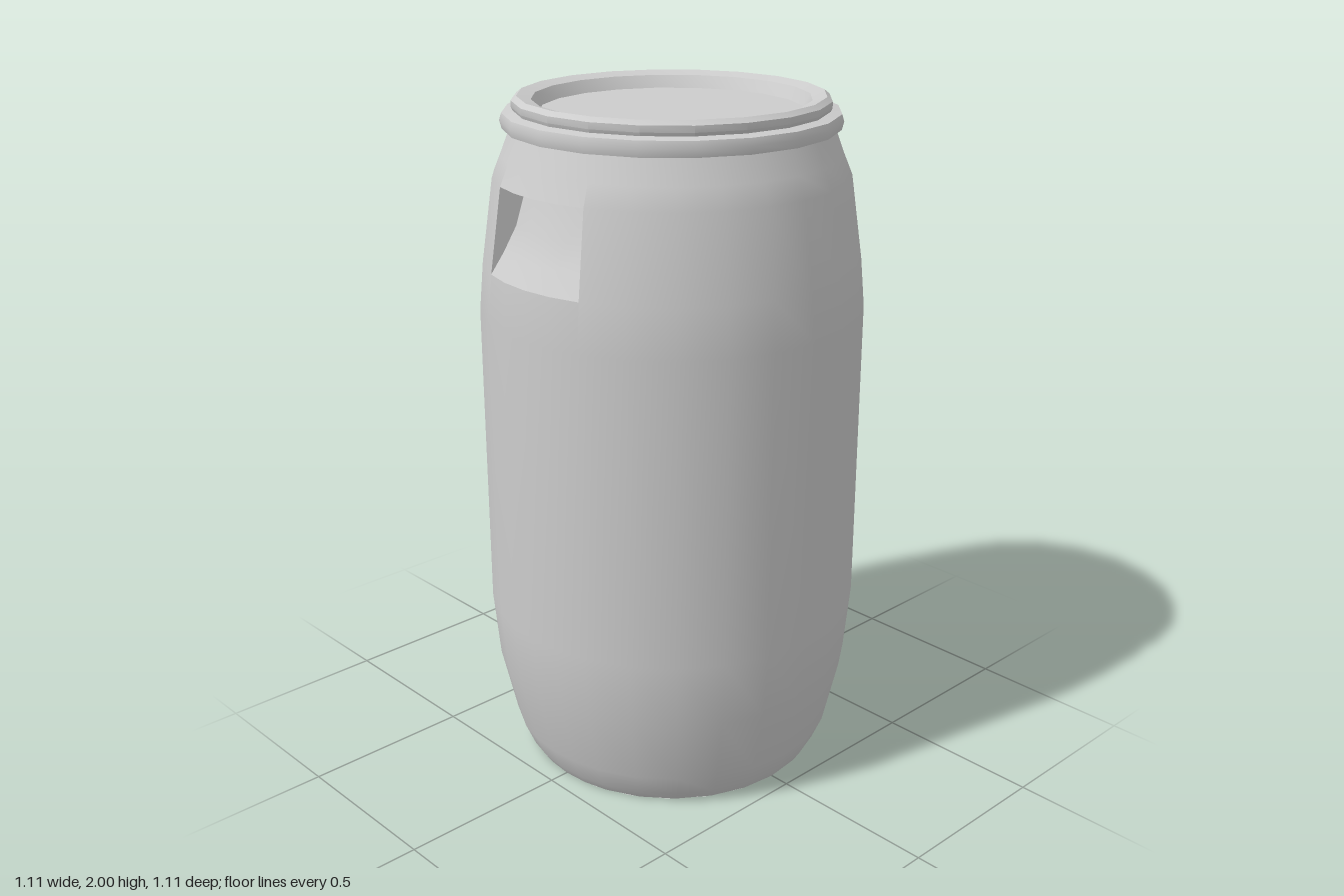
import * as THREE from 'three';
import { toCreasedNormals } from 'three/addons/utils/BufferGeometryUtils.js';

const HALF = THREE.MathUtils.degToRad(20); // half the angle of a grip recess
const GRIP_BOTTOM = 1.54, GRIP_TOP = 1.78;

// Barrel wall as [radius, height], bottom to top
const WALL = [
  [0.44, 0], [0.46, 0.03], [0.49, 0.1], [0.535, 0.3], [0.553, 0.5], [0.553, 1.4],
  [0.54, GRIP_BOTTOM], [0.505, GRIP_TOP], [0.48, 1.84], [0.45, 1.92],
];

function wallRadius(y) {
  const i = WALL.findIndex((p, k) => k > 0 && p[1] >= y);
  const [r0, y0] = WALL[i - 1], [r1, y1] = WALL[i];
  return r0 + (r1 - r0) * (y - y0) / (y1 - y0);
}

function lathe(points, segments, start = 0, length = Math.PI * 2) {
  return new THREE.LatheGeometry(points.map(p => new THREE.Vector2(...p)), segments, start, length);
}

// Skin over rows of points, ordered bottom to top and left to right
function skin(rows) {
  const n = rows[0].length, index = [];
  for (let i = 0; i < rows.length - 1; i++) {
    for (let j = 0; j < n - 1; j++) {
      const a = i * n + j, b = a + 1, c = b + n, d = a + n;
      index.push(a, b, c, a, c, d);
    }
  }
  const g = new THREE.BufferGeometry().setFromPoints(rows.flat());
  g.setIndex(index);
  g.computeVertexNormals();
  return g;
}

export function createModel() {
  const model = new THREE.Group();
  model.name = 'barrel';
  const plastic = new THREE.MeshStandardMaterial({ color: 0xcccccc, side: THREE.DoubleSide });
  plastic.name = 'light grey plastic';

  const add = (parent, name, geometry) => {
    const mesh = new THREE.Mesh(geometry, plastic);
    mesh.name = name;
    parent.add(mesh);
  };
  const polar = (r, y, a) => new THREE.Vector3(r * Math.sin(a), y, r * Math.cos(a));

  // Each half: one side of the wall, plus the panel that holds a grip
  const lower = WALL.filter(p => p[1] <= GRIP_BOTTOM);
  const upper = WALL.filter(p => p[1] >= GRIP_TOP);
  const angles = [-1, -0.5, 0, 0.5, 1].map(k => k * HALF);
  const floor = [[GRIP_BOTTOM, 0], [1.6, 0.03], [1.67, 0.058], [GRIP_TOP, 0.075]]
    .map(([y, depth]) => ({ y, outer: wallRadius(y), inner: wallRadius(y) - depth }));
  const top = floor[floor.length - 1];

  ['front', 'back'].forEach((side, i) => {
    const half = new THREE.Group();
    half.name = side + 'Half';
    half.rotation.y = i * Math.PI;
    add(half, 'sideWall', lathe(WALL, 10, HALF, Math.PI - 2 * HALF));
    add(half, 'lowerPanel', lathe(lower, 4, -HALF, 2 * HALF));
    add(half, 'upperPanel', lathe(upper, 4, -HALF, 2 * HALF));

    // Hand grip pressed into the wall
    const grip = new THREE.Group();
    grip.name = 'handGrip';
    add(grip, 'gripFloor', skin(floor.map(f => angles.map(a => polar(f.inner, f.y, a)))));
    add(grip, 'gripRightCheek', skin(floor.map(f => [polar(f.outer, f.y, -HALF), polar(f.inner, f.y, -HALF)])));
    add(grip, 'gripLeftCheek', skin(floor.map(f => [polar(f.inner, f.y, HALF), polar(f.outer, f.y, HALF)])));
    add(grip, 'gripLedge', skin([top.inner, top.outer].map(r => angles.map(a => polar(r, top.y, a)))));
    half.add(grip);
    model.add(half);
  });

  // Shallow hollow base
  add(model, 'base', toCreasedNormals(lathe([[0, 0.05], [0.3, 0.04], [0.41, 0], [0.44, 0]], 24), 0.5));

  // Clamp ring around the mouth
  add(model, 'clampRing', toCreasedNormals(lathe([
    [0.44, 1.91], [0.472, 1.912], [0.478, 1.935], [0.472, 1.955], [0.43, 1.962],
  ], 20), 0.7));

  // Lid with a raised lip and a sunken disc
  add(model, 'lid', toCreasedNormals(lathe([
    [0.435, 1.95], [0.445, 1.97], [0.445, 1.988], [0.43, 2], [0.39, 1.99], [0.37, 1.955], [0, 1.955],
  ], 20), 0.5));

  return model;
}
